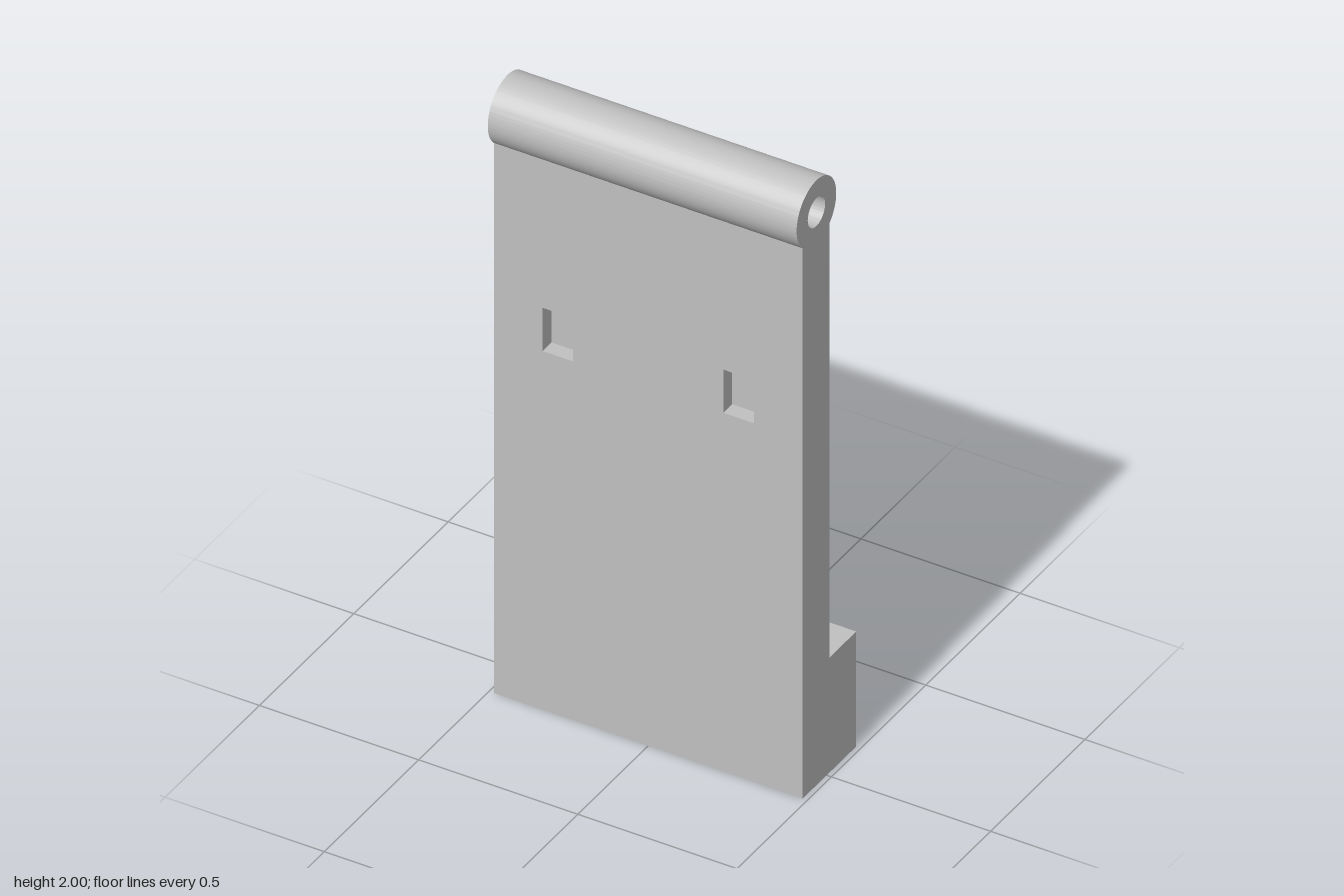
import * as THREE from 'three';
import { toCreasedNormals } from 'three/addons/utils/BufferGeometryUtils.js';

const HALF = 0.485;                                   // half width along x
const FRONT = 0.127, POCKET = 0.08, BACK = -0.016;    // plate front, pocket floor, plate back
const FOOT_BACK = -0.157, FOOT_TOP = 0.38;
const BARREL = { z: 0.054, y: 1.895, r: 0.105, hole: 0.046 };

// y on the lower half of the barrel at a given z
const barrelY = (z) => BARREL.y - Math.sqrt(BARREL.r ** 2 - (z - BARREL.z) ** 2);
const barrelAngle = (z) => Math.atan2(barrelY(z) - BARREL.y, z - BARREL.z);

export function createModel() {
  const group = new THREE.Group();
  const grey = new THREE.MeshStandardMaterial({ color: 0xc0c0c0 });
  grey.name = 'plain grey';
  const neck = barrelY(FRONT);

  // Side section (z, y): foot, plate core and hinge barrel with its pin hole
  const section = new THREE.Shape();
  section.moveTo(FOOT_BACK, 0);
  section.lineTo(POCKET, 0);
  section.lineTo(POCKET, neck);
  section.lineTo(FRONT, neck);
  section.absarc(BARREL.z, BARREL.y, BARREL.r,
    barrelAngle(FRONT), barrelAngle(BACK) + Math.PI * 2, false);
  section.lineTo(BACK, FOOT_TOP);
  section.lineTo(FOOT_BACK, FOOT_TOP);
  section.closePath();
  section.holes.push(new THREE.Path().absarc(BARREL.z, BARREL.y, BARREL.hole, 0, Math.PI * 2, true));

  const bodyGeometry = new THREE.ExtrudeGeometry(section,
    { depth: HALF * 2, bevelEnabled: false, curveSegments: 48 });
  bodyGeometry.translate(0, 0, -HALF).rotateY(-Math.PI / 2);
  const body = new THREE.Mesh(toCreasedNormals(bodyGeometry, 0.5), grey);
  body.name = 'hingedBody';
  group.add(body);

  // Front layer of the plate, cut by two rectangular pockets
  const face = new THREE.Shape([
    new THREE.Vector2(-HALF, 0), new THREE.Vector2(HALF, 0),
    new THREE.Vector2(HALF, neck), new THREE.Vector2(-HALF, neck),
  ]);
  for (const x of [-0.284, 0.284]) {
    const w = 0.048, low = 1.186, high = 1.329;
    face.holes.push(new THREE.Path([
      new THREE.Vector2(x - w, low), new THREE.Vector2(x - w, high),
      new THREE.Vector2(x + w, high), new THREE.Vector2(x + w, low),
    ]));
  }
  const facePlate = new THREE.Mesh(
    new THREE.ExtrudeGeometry(face, { depth: FRONT - POCKET, bevelEnabled: false }), grey);
  facePlate.position.z = POCKET;
  facePlate.name = 'pocketedFace';
  group.add(facePlate);

  return group;
}
